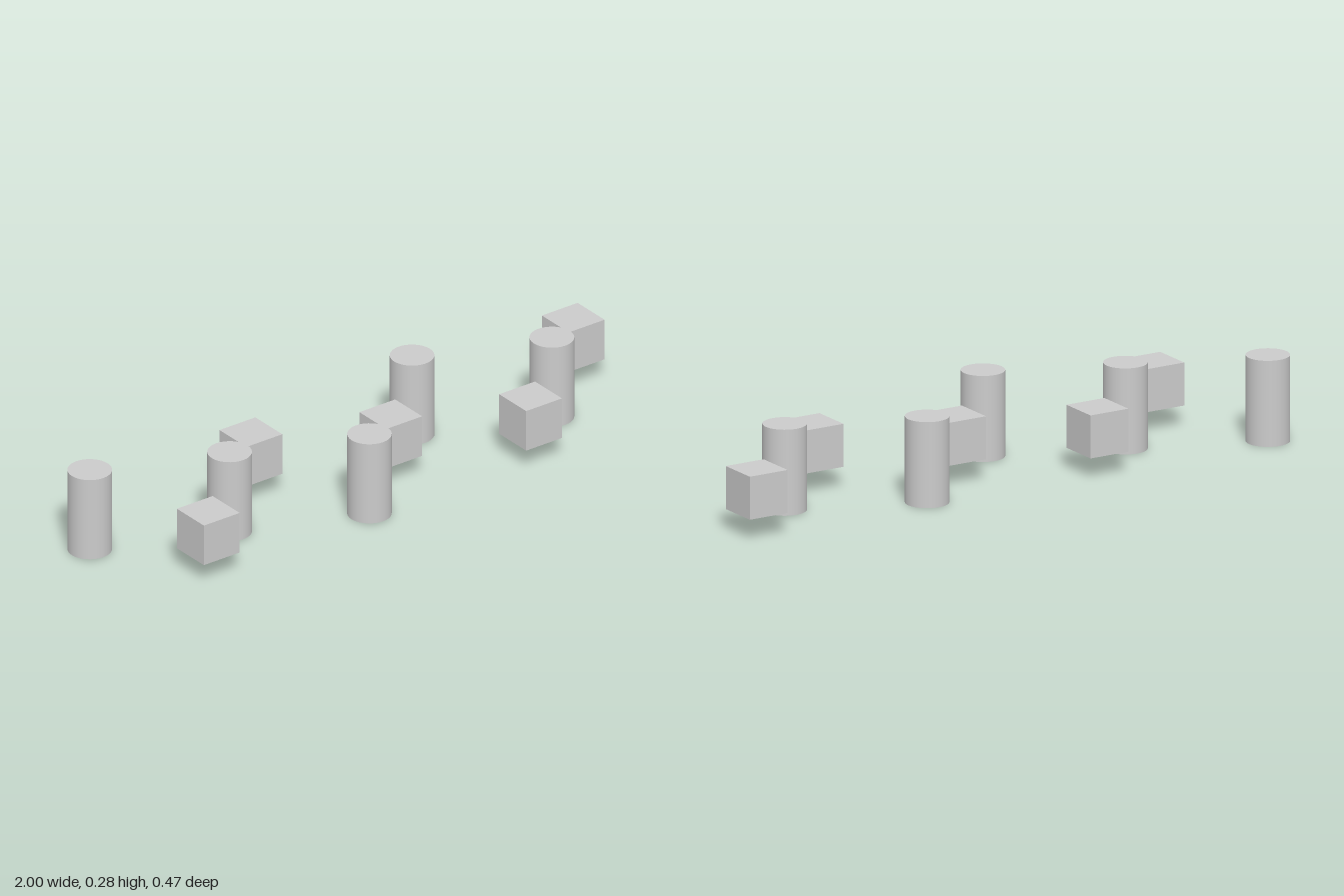
import * as THREE from 'three';

export function createModel() {
  const group = new THREE.Group();
  const material = new THREE.MeshStandardMaterial({ color: 0xcccccc });

  const count = 10;
  const size = 2 / 14.5;       // width of every piece
  const step = 1.5 * size;     // spacing along x
  const rows = [-1.2 * size, 1.2 * size, 0]; // back, front, middle

  const post = new THREE.CylinderGeometry(size / 2, size / 2, 2 * size, 32);
  const cube = new THREE.BoxGeometry(size, size, size);

  // Posts and floating cubes alternate along x while cycling through three rows
  for (let i = 0; i < count; i++) {
    const isPost = i % 2 === 0;
    const mesh = new THREE.Mesh(isPost ? post : cube, material);
    mesh.name = (isPost ? 'post' : 'cube') + (Math.floor(i / 2) + 1);
    mesh.position.set((i - (count - 1) / 2) * step, size, rows[i % 3]);
    group.add(mesh);
  }
  return group;
}
